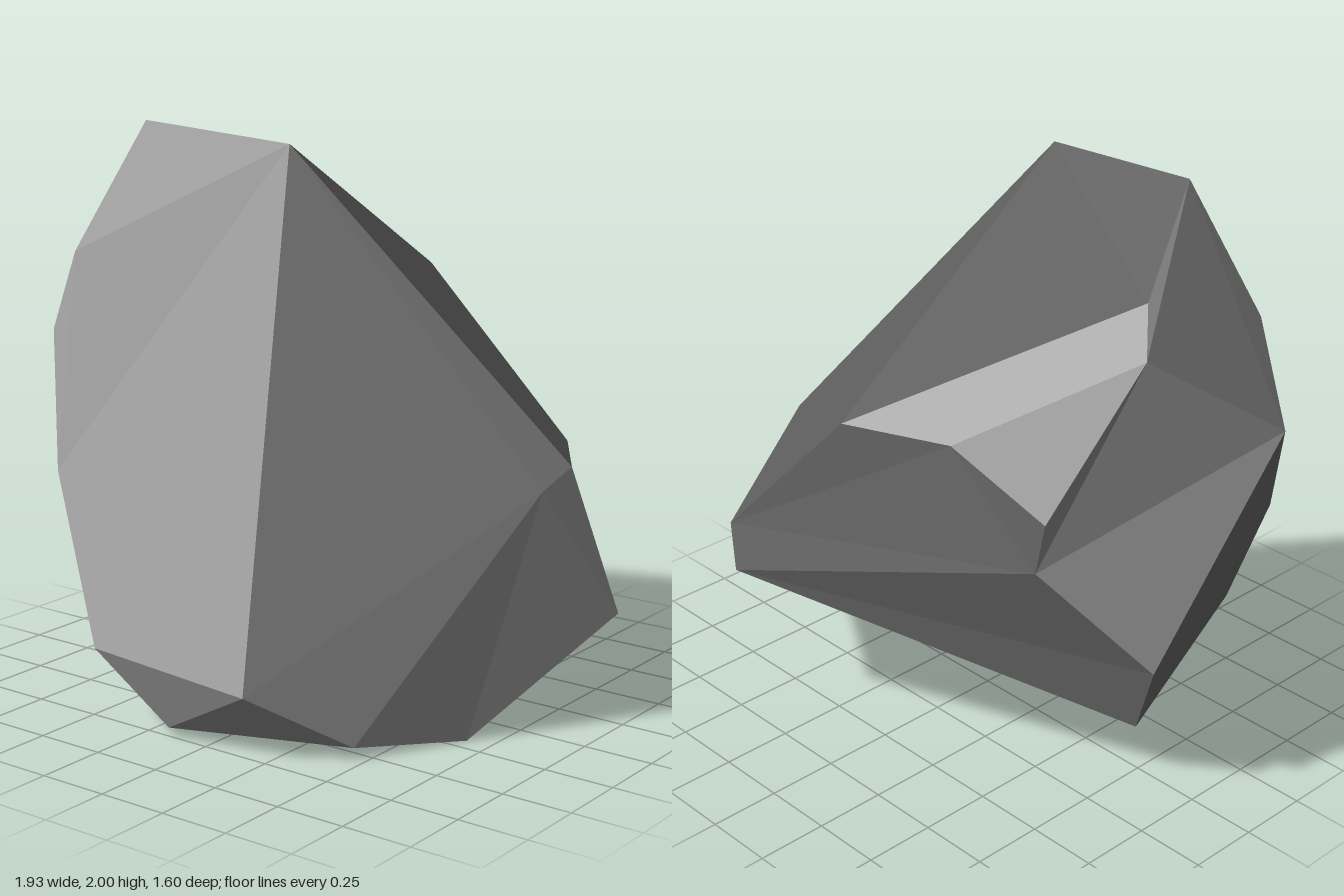
import * as THREE from 'three';

// Corner points of the boulder, grouped by the region they sit in
const corners = {
  // ridge at the top
  a: [-0.54, 2.0, 0.38], b: [0.09, 1.96, 0.40],
  // upper left shoulder
  n: [-0.76, 1.55, 0.51], o: [-0.97, 1.24, 0.41], q: [-0.86, 1.63, -0.15], r: [-0.74, 1.75, -0.02],
  // back
  c: [-0.18, 1.40, -0.80], d: [0.43, 0.80, -0.80], e: [0.47, 0.58, -0.76],
  // chipped back corner
  w: [-0.54, 1.41, -0.67], v: [-0.84, 1.21, -0.56], s: [-0.71, 0.95, -0.47],
  // right-hand flank
  f: [0.825, 0.89, -0.17], i: [0.80, 0.83, -0.03], t: [0.965, 0.385, -0.26],
  // lower front and left
  k: [0.20, 0.225, 0.80], l: [-0.47, 0.25, 0.77], m: [-0.755, 0.80, 0.63], p: [-0.92, 0.52, -0.13],
  // base
  g: [0.66, 0, 0.19], h: [-0.16, 0.03, 0.75], j: [0.46, 0.04, 0.55], x: [-0.77, 0.20, -0.04],
};

// Facets as corner loops, counter-clockwise from outside, fanned from the first corner
const tones = [
  {
    name: 'paleFacets',
    color: 0xa6a6a6,
    // broad front, chip, back right, left side, underside
    facets: ['banmlk', 'nom', 'wvqrc', 'fted', 'qso', 'spo', 'hxgj'],
  },
  {
    name: 'midFacets',
    color: 0x818181,
    // left shoulder, right flank, back, front undercut
    facets: ['arqon', 'ifbkjgtf', 'wsv', 'qvs', 'cdw', 'dsw', 'des', 'exps', 'lhk', 'khj'],
  },
  {
    name: 'darkFacets',
    color: 0x5e5e5e,
    // sloping top, lower left, lower back
    facets: ['bfdc', 'bcra', 'xhlmop', 'tge', 'egx'],
  },
];

function facetGeometry(facets) {
  const positions = [];
  for (const loop of facets) {
    for (let n = 1; n < loop.length - 1; n++) {
      for (const key of [loop[0], loop[n], loop[n + 1]]) positions.push(...corners[key]);
    }
  }
  const geometry = new THREE.BufferGeometry();
  geometry.setAttribute('position', new THREE.Float32BufferAttribute(positions, 3));
  geometry.computeVertexNormals();
  return geometry;
}

export function createModel() {
  const group = new THREE.Group();
  group.name = 'rock';
  for (const { name, color, facets } of tones) {
    const material = new THREE.MeshStandardMaterial({ color, flatShading: true });
    const mesh = new THREE.Mesh(facetGeometry(facets), material);
    mesh.name = name;
    group.add(mesh);
  }
  return group;
}
